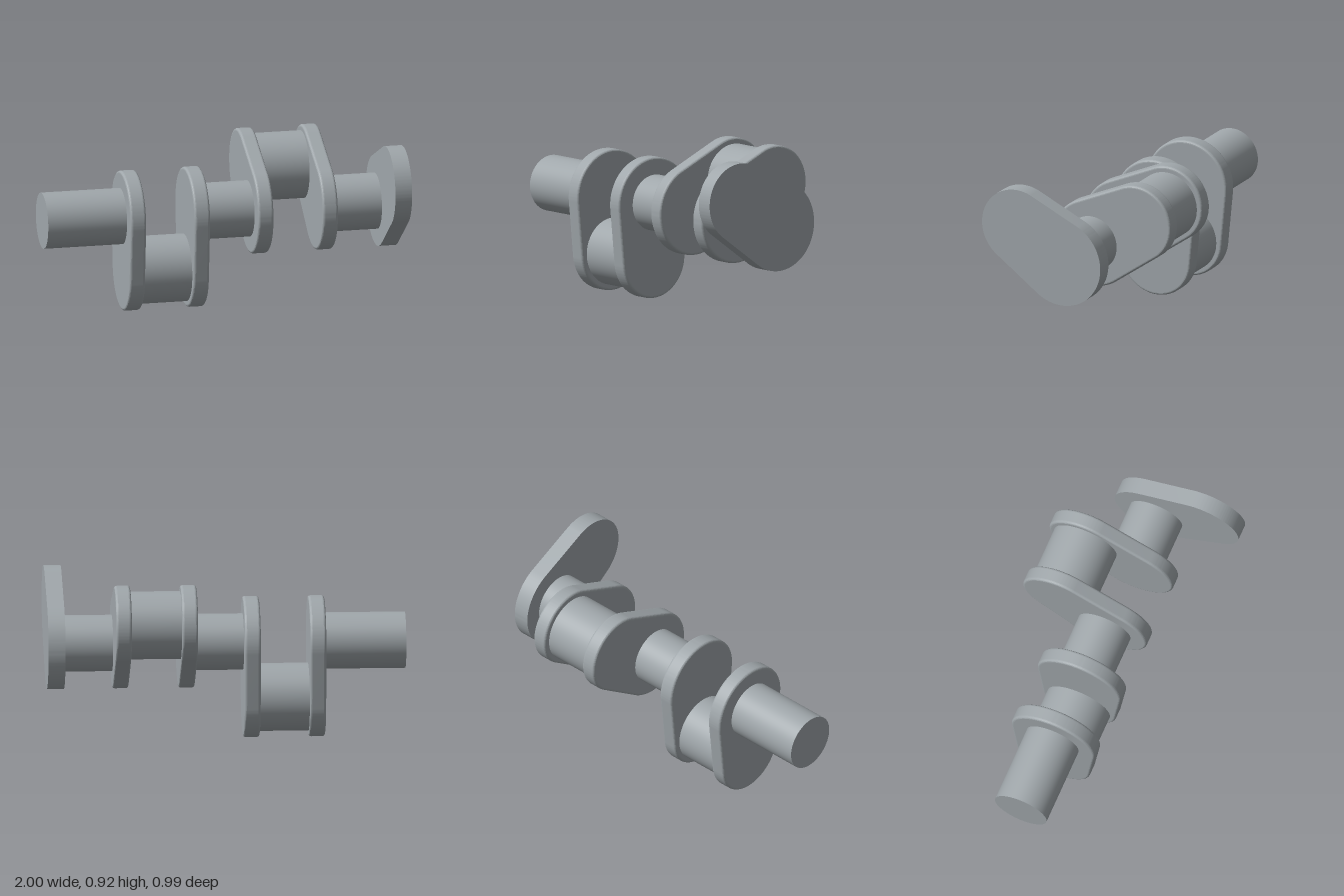
import * as THREE from 'three';
import { toCreasedNormals } from 'three/addons/utils/BufferGeometryUtils.js';

const AXIS_Y = 0.543;   // height of the main shaft axis
const THROW = 0.318;    // distance from shaft axis to crank pin axis
const R_MAIN = 0.253, R_PIN_END = 0.222; // web end radii
const R_JOURNAL = 0.157, R_PIN = 0.189;

export function createModel() {
  const model = new THREE.Group();
  model.name = 'crankshaft';
  const steel = new THREE.MeshStandardMaterial({ color: 0xa0a7ab });
  steel.name = 'steel grey';

  const add = (name, geometry, x, y = AXIS_Y, z = 0) => {
    const mesh = new THREE.Mesh(geometry, steel);
    mesh.name = name;
    mesh.position.set(x, y, z);
    model.add(mesh);
  };

  // Round bar along x
  const bar = (name, x0, x1, radius, y, z) => {
    const geo = new THREE.CylinderGeometry(radius, radius, x1 - x0, 64);
    geo.rotateZ(-Math.PI / 2);
    add(name, geo, (x0 + x1) / 2, y, z);
  };

  // Web: two circles joined by tangents, extruded along x
  const web = (name, x0, x1, angle, bevel) => {
    const phi = Math.acos((R_MAIN - R_PIN_END) / THROW);
    const shape = new THREE.Shape();
    shape.absarc(THROW * Math.cos(angle), THROW * Math.sin(angle), R_PIN_END, angle - phi, angle + phi, false);
    shape.absarc(0, 0, R_MAIN, angle + phi, angle - phi + 2 * Math.PI, false);
    shape.closePath();
    const geo = new THREE.ExtrudeGeometry(shape, {
      depth: x1 - x0 - 2 * bevel, curveSegments: 48,
      bevelEnabled: bevel > 0, bevelSize: bevel, bevelThickness: bevel,
      bevelOffset: -bevel, bevelSegments: 4,
    });
    geo.translate(0, 0, bevel);
    geo.rotateY(Math.PI / 2); // shape x becomes -z
    add(name, toCreasedNormals(geo, 0.15), x0);
  };

  // Main journals
  bar('frontJournal', -1, -0.54, R_JOURNAL);
  bar('middleJournal', -0.105, 0.19, R_JOURNAL);
  bar('endJournal', 0.625, 0.91, R_JOURNAL);

  // Two throws, each a pair of webs holding a crank pin
  const throws = [
    { name: 'lower', angle: -Math.PI / 2, webs: [[-0.55, -0.46], [-0.185, -0.095]] },
    { name: 'rear', angle: Math.PI / 6, webs: [[0.178, 0.267], [0.547, 0.635]] },
  ];
  for (const { name, angle, webs } of throws) {
    webs.forEach(([a, b], i) => web(`${name}Web${i + 1}`, a, b, angle, 0.014));
    bar(`${name}CrankPin`, webs[0][1] - 0.01, webs[1][0] + 0.01, R_PIN,
      AXIS_Y + THROW * Math.sin(angle), -THROW * Math.cos(angle));
  }

  // Sharp-edged end web, pointing forward and up
  web('endWeb', 0.905, 1, Math.PI * 5 / 6, 0);

  return model;
}
